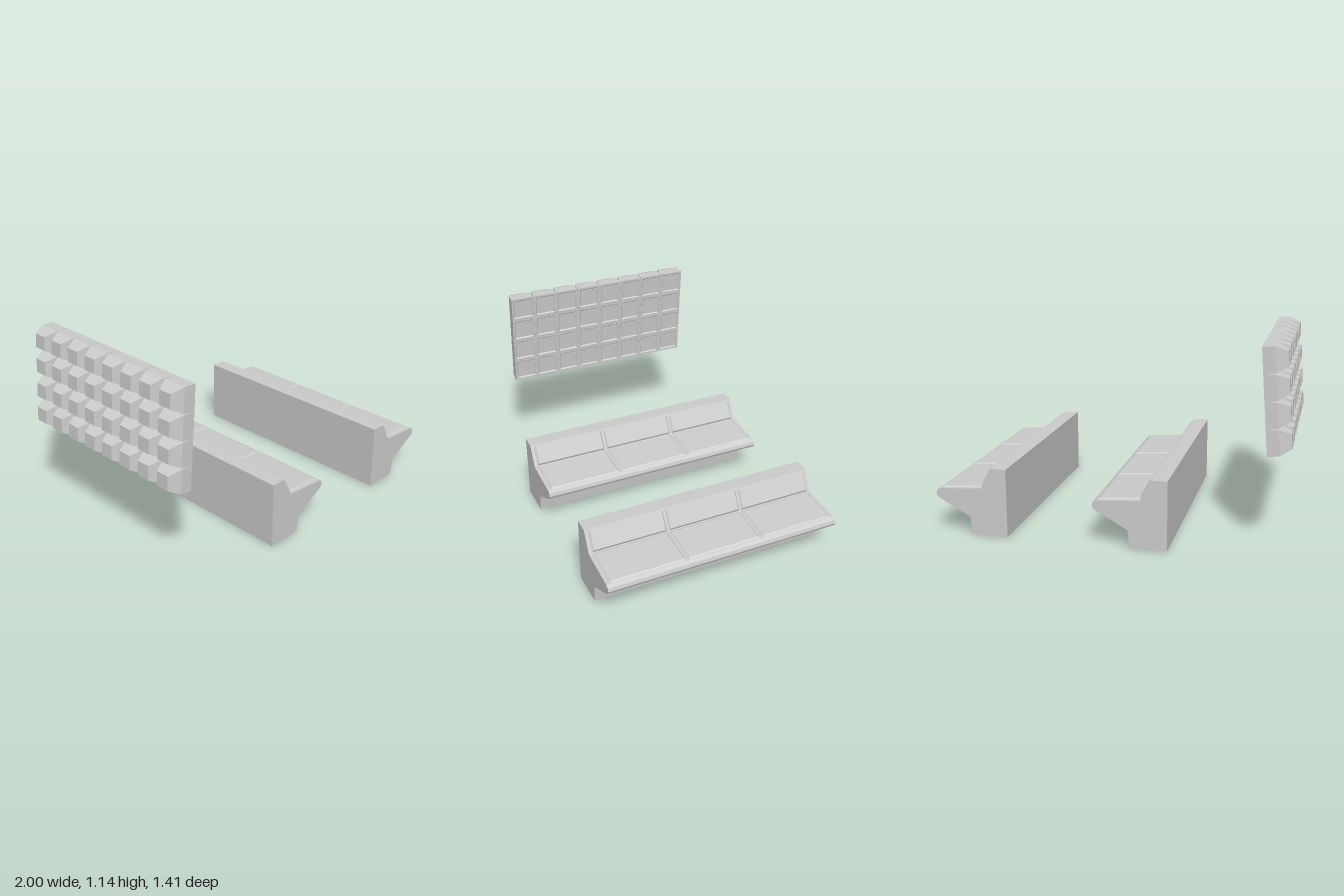
import * as THREE from 'three';

const material = new THREE.MeshStandardMaterial({ color: 0xcccccc, flatShading: true });

function mesh(name, geometry) {
  const m = new THREE.Mesh(geometry, material);
  m.name = name;
  return m;
}

// Raised panel with sloping edges, lying on the profile line from p to q
function raisedPanel(name, p, q, z, width, height) {
  const length = Math.hypot(q[0] - p[0], q[1] - p[1]);
  const g = new THREE.BoxGeometry(length, height, width);
  const pos = g.attributes.position;
  const bevel = 0.01;
  for (let i = 0; i < pos.count; i++) {
    if (pos.getY(i) > 0) {
      pos.setX(i, pos.getX(i) - Math.sign(pos.getX(i)) * bevel);
      pos.setZ(i, pos.getZ(i) - Math.sign(pos.getZ(i)) * bevel);
    }
  }
  g.translate(0, height / 2, 0);
  const m = mesh(name, g);
  m.position.set((p[0] + q[0]) / 2, (p[1] + q[1]) / 2, z);
  m.rotation.z = Math.atan2(q[1] - p[1], q[0] - p[0]);
  return m;
}

// Long control desk: extruded side profile plus three stations
function createConsole() {
  const console = new THREE.Group();
  console.name = 'controlDesk';
  const length = 1.41;
  const profile = [
    [-0.353, 0], [-0.141, 0], [-0.13, 0.105], [0.05, 0.203], [0.066, 0.215], [0.073, 0.232],
    [0.067, 0.252], [0.048, 0.263], [-0.2, 0.28], [-0.264, 0.4], [-0.353, 0.4],
  ];
  const shape = new THREE.Shape(profile.map(([x, y]) => new THREE.Vector2(x, y)));
  const body = new THREE.ExtrudeGeometry(shape, { depth: length, bevelEnabled: false });
  body.translate(0, 0, -length / 2);
  console.add(mesh('deskBody', body));

  for (let i = -1; i <= 1; i++) {
    const z = i * 0.461;
    console.add(raisedPanel('worktopPanel', [-0.198, 0.28], [0.044, 0.263], z, 0.447, 0.008));
    console.add(raisedPanel('instrumentPanel', [-0.261, 0.395], [-0.203, 0.286], z, 0.447, 0.011));
  }
  return console;
}

// Leaning bank of monitors, four rows of eight
function createMonitorWall() {
  const wall = new THREE.Group();
  wall.name = 'monitorWall';
  const pitch = 0.149;

  // Square rings from the back of the case to the sunken screen: [half width, depth]
  const rings = [
    [0, -0.134], [0.041, -0.134], [0.071, -0.068], [0.0743, 0],
    [0.062, 0], [0.056, -0.007], [0, -0.007],
  ];
  const points = rings.map(([h, d]) => new THREE.Vector2(h * Math.SQRT2, d));
  const geometry = new THREE.LatheGeometry(points, 4, Math.PI / 4);
  geometry.rotateZ(-Math.PI / 2);

  for (let row = 0; row < 4; row++) {
    for (let col = 0; col < 8; col++) {
      const monitor = mesh('monitor', geometry);
      monitor.position.set(0, (row + 0.5) * pitch, (col - 3.5) * pitch);
      wall.add(monitor);
    }
  }
  wall.rotation.z = -0.077;
  wall.position.set(-0.867, 0.541, 0);
  return wall;
}

export function createModel() {
  const model = new THREE.Group();
  model.name = 'controlRoom';
  model.add(createMonitorWall());
  for (const x of [0, 0.925]) {
    const desk = createConsole();
    desk.position.x = x;
    model.add(desk);
  }
  return model;
}
